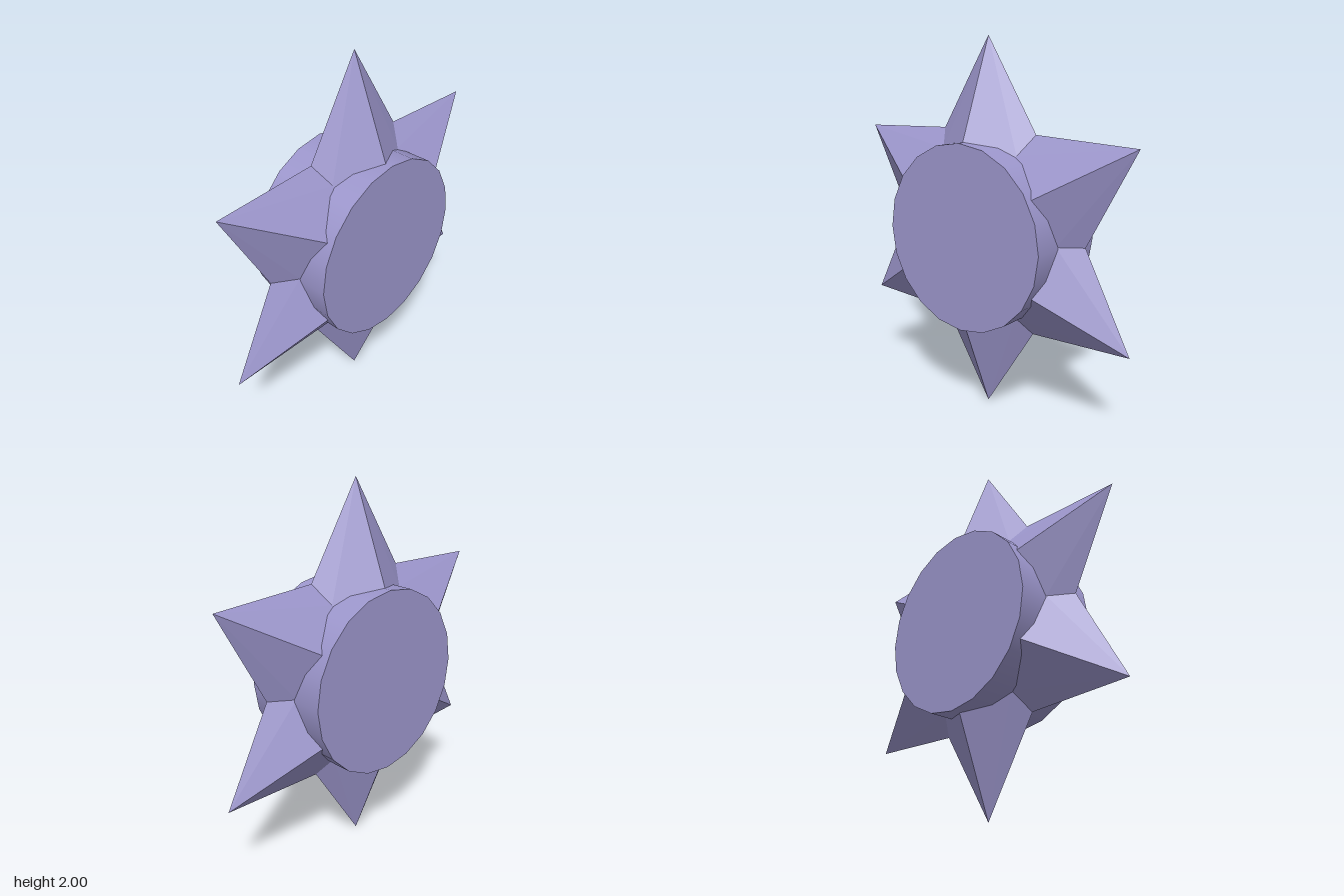
import * as THREE from 'three';

const CENTRE = 1.0025, REACH = 0.9975, BASE = 0.41;

// Eight-sided flattened pyramid pointing up, its open base buried in the hub
function spikeGeometry() {
  const section = [
    [0.632, 0], [0.42, 0.14], [0, 0.39], [-0.42, 0.14],
    [-0.632, 0], [-0.42, -0.14], [0, -0.39], [0.42, -0.14],
  ];
  const spread = REACH - BASE;
  const ring = section.map(([x, z]) => [x * spread, BASE, z * spread]);
  const positions = [];
  ring.forEach((corner, i) => {
    const next = ring[(i + 1) % ring.length];
    positions.push(...corner, 0, REACH, 0, ...next);
  });
  const geometry = new THREE.BufferGeometry();
  geometry.setAttribute('position', new THREE.Float32BufferAttribute(positions, 3));
  geometry.computeVertexNormals();
  return geometry;
}

export function createModel() {
  const model = new THREE.Group();
  model.name = 'spikedDisc';
  const color = 0x9c96cc;
  const facetMaterial = new THREE.MeshStandardMaterial({ color, flatShading: true, side: THREE.DoubleSide });
  const hubMaterial = new THREE.MeshStandardMaterial({ color });

  // Six spikes around the hub
  const star = new THREE.Group();
  star.name = 'star';
  star.position.y = CENTRE;
  const geometry = spikeGeometry();
  for (let i = 0; i < 6; i++) {
    const spike = new THREE.Mesh(geometry, facetMaterial);
    spike.name = `spike${i + 1}`;
    spike.rotation.z = (i * Math.PI) / 3;
    star.add(spike);
  }
  model.add(star);

  // Round hub passing through the middle
  const hub = new THREE.Mesh(new THREE.CylinderGeometry(0.49, 0.49, 0.485, 20), hubMaterial);
  hub.name = 'hub';
  hub.rotation.x = Math.PI / 2;
  hub.position.set(0.005, 0.993, -0.002);
  model.add(hub);

  return model;
}
